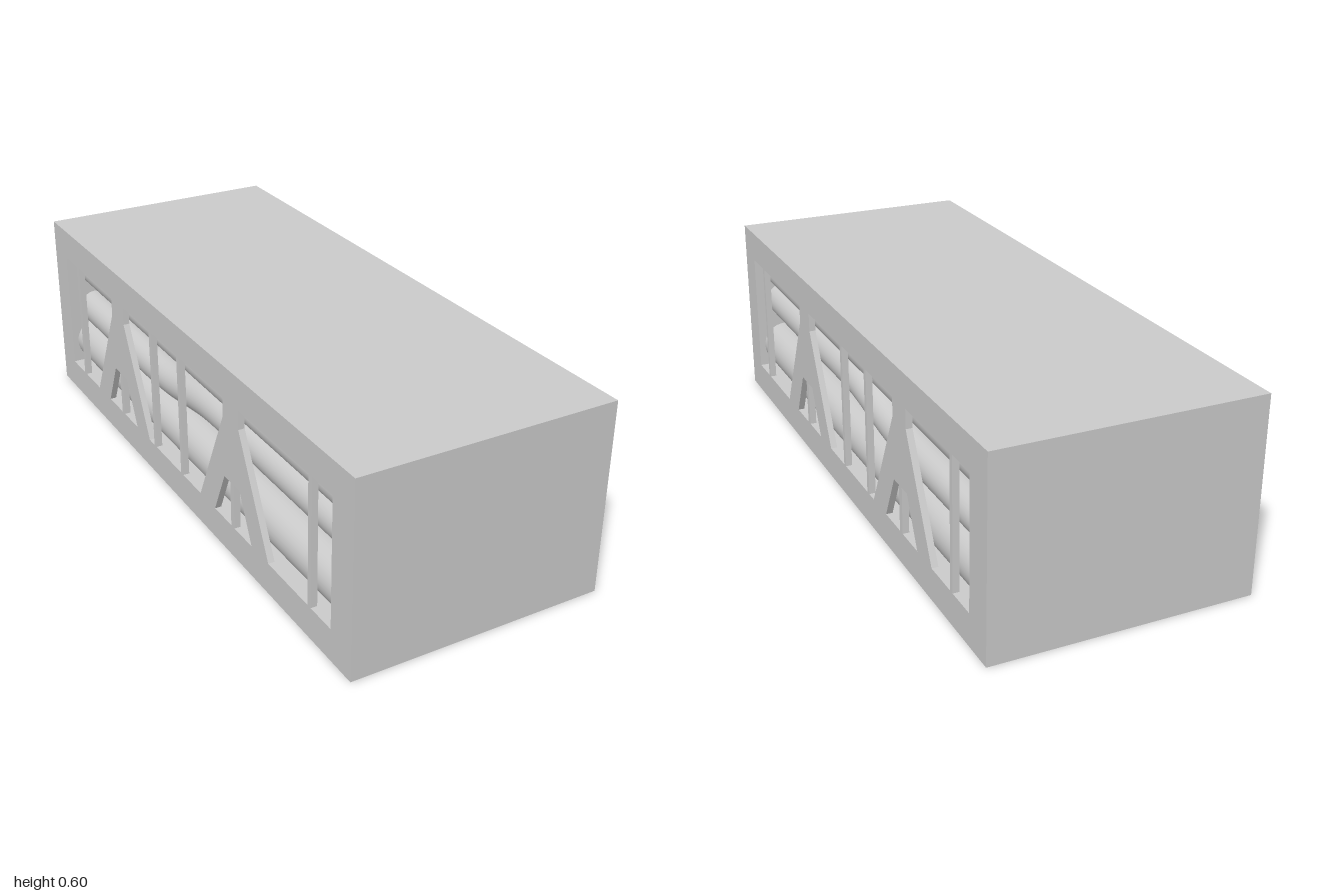
import * as THREE from 'three';

const grey = new THREE.MeshStandardMaterial({ color: 0xcccccc });

function add(group, name, geometry, x = 0, y = 0, z = 0) {
  const mesh = new THREE.Mesh(geometry, grey);
  mesh.name = name;
  mesh.position.set(x, y, z);
  group.add(mesh);
  return mesh;
}

// box given by its minimum and maximum corners
function block(group, name, [x0, y0, z0], [x1, y1, z1]) {
  const geometry = new THREE.BoxGeometry(x1 - x0, y1 - y0, z1 - z0);
  return add(group, name, geometry, (x0 + x1) / 2, (y0 + y1) / 2, (z0 + z1) / 2);
}

function plate(points, depth) {
  const shape = new THREE.Shape(points.map(([a, b]) => new THREE.Vector2(a, b)));
  return new THREE.ExtrudeGeometry(shape, { depth, bevelEnabled: false });
}

function pipe(group, name, radius, points, segments) {
  const curve = new THREE.CatmullRomCurve3(points.map((p) => new THREE.Vector3(...p)));
  add(group, name, new THREE.TubeGeometry(curve, segments, radius, 32));
}

export function createModel() {
  const model = new THREE.Group();

  // solid frame: roof slab, end blocks and lower side beams
  const frame = new THREE.Group();
  frame.name = 'frame';
  model.add(frame);
  block(frame, 'roofSlab', [-0.4, 0.5, -1], [0.4, 0.6, 1]);
  block(frame, 'frontEnd', [-0.4, 0, 0.9], [0.4, 0.5, 1]);
  block(frame, 'backEnd', [-0.4, 0, -1], [0.4, 0.5, -0.9]);
  block(frame, 'leftBeam', [0.3, 0, -0.9], [0.4, 0.1, 0.9]);
  block(frame, 'rightBeam', [-0.4, 0, -0.9], [-0.3, 0.1, 0.9]);

  // A-shaped brace outline, one half mirrored into the other
  const half = [[0.047, 0.245], [0.115, 0.1], [0.213, 0.1], [0.047, 0.44], [0.047, 0.5]];
  const outline = [...half, ...half.map(([a, b]) => [-a, b]).reverse()];
  const thickness = 0.02;
  const brace = plate(outline, thickness);

  // open lattice on both long sides
  for (const side of [1, -1]) {
    const lattice = new THREE.Group();
    lattice.name = side > 0 ? 'leftLattice' : 'rightLattice';
    model.add(lattice);
    const x1 = side > 0 ? 0.4 : thickness - 0.4;
    const x0 = x1 - thickness;
    for (const z of [0.352, -0.448]) {
      add(lattice, 'brace', brace, x1, 0, z).rotation.y = -Math.PI / 2;
      block(lattice, 'bracePost', [x0, 0.1, z - 0.01], [x1, 0.245, z + 0.01]);
    }
    for (const z of [0.79, 0.01, -0.19, -0.79]) {
      block(lattice, 'post', [x0, 0.1, z - 0.008], [x1, 0.5, z + 0.008]);
    }
  }

  // floor plate with a stepped front edge, and cross bars
  const floor = plate([
    [0.3, -0.6], [0.3, -0.19], [0, -0.18], [-0.2, -0.31], [-0.3, -0.31], [-0.3, -0.6],
  ], 0.02);
  add(model, 'floorPlate', floor, 0, 0.02, 0).rotation.x = Math.PI / 2;
  for (const z of [0.2, 0.5]) {
    block(model, 'floorBar', [-0.3, 0, z - 0.01], [0.3, 0.02, z + 0.01]);
  }

  // bundle of pipes running between the end blocks
  const pipes = new THREE.Group();
  pipes.name = 'pipes';
  model.add(pipes);
  const straight = (x, y) => [[x, y, 0.93], [x, y, -0.93]];
  for (const x of [-0.22, -0.05, 0.12]) {
    pipe(pipes, 'floorPipe', 0.085, straight(x, 0.12), 1);
  }
  pipe(pipes, 'corePipe', 0.11, straight(0, 0.285), 1);
  pipe(pipes, 'upperPipe', 0.055, straight(0, 0.45), 1);

  // stacks resting on the side beams, the middle pipe stepping down
  for (const x of [-0.305, 0.305]) {
    pipe(pipes, 'lowerPipe', 0.075, straight(x, 0.175), 1);
    pipe(pipes, 'upperPipe', 0.055, straight(x, 0.45), 1);
    pipe(pipes, 'bentPipe', 0.056, [
      [x, 0.345, 0.93], [x, 0.345, 0.5], [x, 0.344, 0.07], [x, 0.328, -0.06],
      [x, 0.309, -0.19], [x, 0.3, -0.35], [x, 0.3, -0.6], [x, 0.3, -0.93],
    ], 64);
  }

  return model;
}
